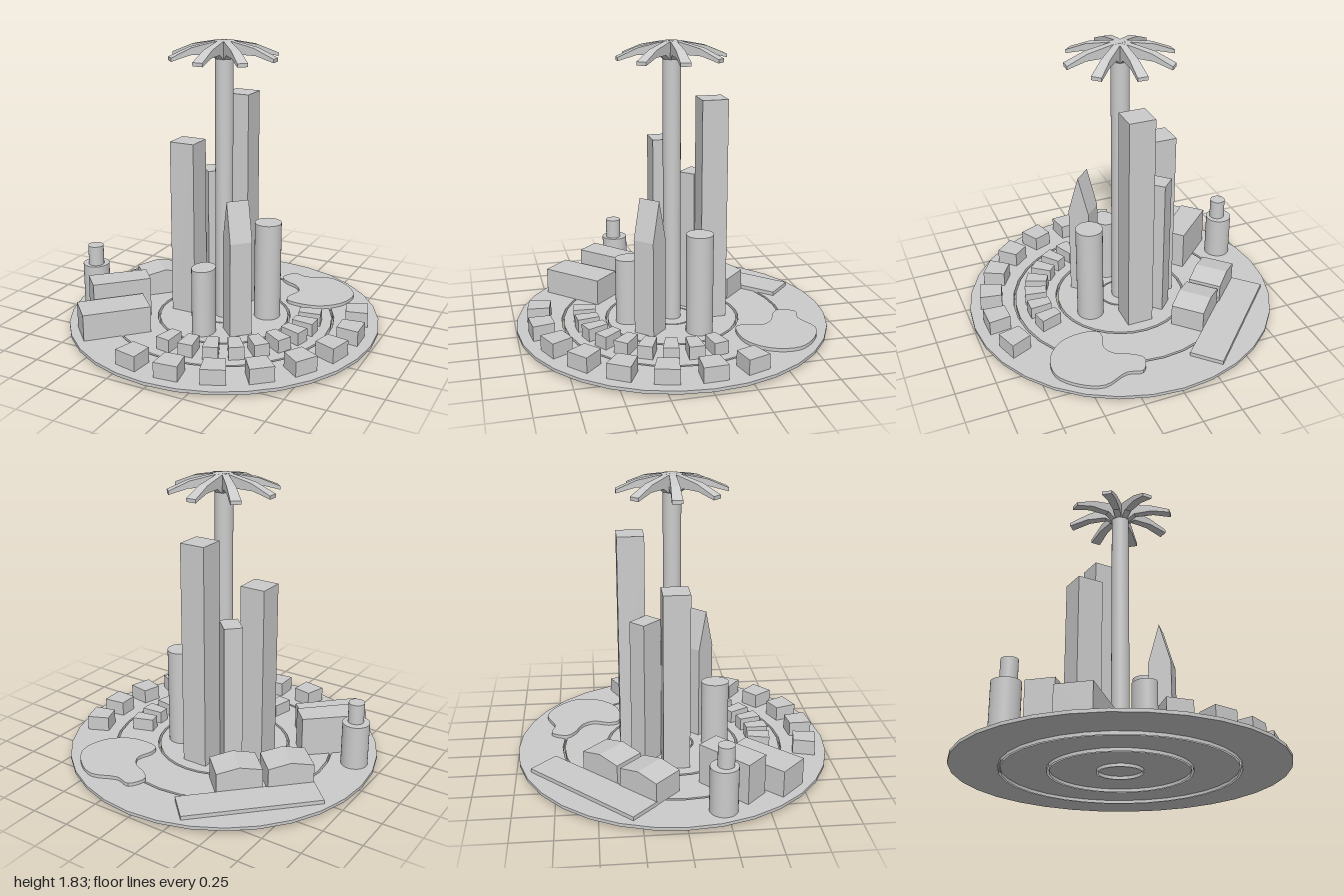
import * as THREE from 'three';

const grey = new THREE.MeshStandardMaterial({ color: 0xcccccc });
const greyDouble = new THREE.MeshStandardMaterial({ color: 0xcccccc, side: THREE.DoubleSide });
const SIDES = 32;
const GROUND = 0.04, FOOT = 0.025;

export function createModel() {
  const model = new THREE.Group();

  const add = (name, geometry, material = grey) => {
    const mesh = new THREE.Mesh(geometry, material);
    mesh.name = name;
    model.add(mesh);
    return mesh;
  };

  // Upright block over a plan outline of [x, z] points
  const toShape = pts => new THREE.Shape(pts.map(([x, z]) => new THREE.Vector2(x, -z)));
  const prism = (name, pts, top, bottom = FOOT, hole = null) => {
    const shape = toShape(pts);
    if (hole) shape.holes.push(toShape(hole));
    const geo = new THREE.ExtrudeGeometry(shape, { depth: top - bottom, bevelEnabled: false });
    return add(name, geo.rotateX(-Math.PI / 2).translate(0, bottom, 0));
  };

  const box = (name, x, z, w, d, top, turn = 0) => {
    const mesh = add(name, new THREE.BoxGeometry(w, top - FOOT, d));
    mesh.position.set(x, (top + FOOT) / 2, z);
    mesh.rotation.y = turn;
    return mesh;
  };

  const drum = (name, x, z, r, top, bottom = FOOT) => {
    const mesh = add(name, new THREE.CylinderGeometry(r, r, top - bottom, SIDES));
    mesh.position.set(x, (top + bottom) / 2, z);
    return mesh;
  };

  // Block with a ridge along its local z
  const gabled = (name, x, z, w, d, eave, ridge, turn) => {
    const shape = new THREE.Shape([[-w / 2, FOOT], [w / 2, FOOT], [w / 2, eave], [0, ridge], [-w / 2, eave]]
      .map(p => new THREE.Vector2(...p)));
    const geo = new THREE.ExtrudeGeometry(shape, { depth: d, bevelEnabled: false }).translate(0, 0, -d / 2);
    const mesh = add(name, geo);
    mesh.position.set(x, 0, z);
    mesh.rotation.y = turn;
  };

  // Ground: concentric rings parted by narrow canals
  const circle = r => Array.from({ length: SIDES }, (_, i) => {
    const a = i / SIDES * Math.PI * 2;
    return [r * Math.cos(a), r * Math.sin(a)];
  });
  prism('centralPlaza', circle(0.13), GROUND, 0.02);
  [[0.14, 0.417], [0.432, 0.7], [0.714, 1]].forEach(([inner, outer], i) =>
    prism('groundRing' + (i + 1), circle(outer), GROUND, 0.02, circle(inner)));

  // Canal walls reach below the ground plates
  for (const r of [0.13, 0.14, 0.417, 0.432, 0.7, 0.714]) {
    const wall = new THREE.CylinderGeometry(r, r, GROUND, SIDES, 1, true);
    add('canalWall', wall.translate(0, GROUND / 2, 0), greyDouble);
  }

  // Palm-shaped tower: trunk and eight drooping fronds
  drum('palmTrunk', 0, 0, 0.056, 1.76);
  const profile = new THREE.Shape([
    [0, 1.71], [0.04, 1.71], [0.1, 1.752], [0.22, 1.752], [0.338, 1.72],
    [0.338, 1.742], [0.21, 1.796], [0.06, 1.826], [0, 1.828],
  ].map(p => new THREE.Vector2(...p)));
  const frond = new THREE.ExtrudeGeometry(profile, { depth: 1, bevelEnabled: false }).translate(0, 0, -0.5);
  const pos = frond.attributes.position;
  for (let i = 0; i < pos.count; i++) {
    pos.setZ(i, pos.getZ(i) * (0.036 + 0.085 * pos.getX(i)));
  }
  frond.computeVertexNormals();
  for (let i = 0; i < 8; i++) add('palmFrond', frond).rotation.y = i * Math.PI / 4;

  // Downtown towers
  const diag = Math.PI / 4;
  box('tallTower', -0.002, -0.257, 0.166, 0.166, 1.47);
  box('leftTower', -0.258, -0.002, 0.166, 0.166, 1.18);
  box('diagonalTower', -0.17, -0.18, 0.155, 0.115, 0.967, -diag);
  drum('roundTower', 0.255, -0.115, 0.085, 0.68);
  drum('ovalTower', 0, 0.28, 1, 0.47).scale.set(0.072, 1, 0.088);
  gabled('pointedTower', 0.185, 0.185, 0.14, 0.14, 0.65, 0.9, -diag * 5 + Math.PI / 2 * 4);

  // Two curved rows of wedge-shaped houses
  const houseRow = (name, count, start, step, r, depth, halfIn, halfOut, top) => {
    for (let i = 0; i < count; i++) {
      const a = THREE.MathUtils.degToRad(start + i * step);
      const c = Math.cos(a), s = Math.sin(a);
      const plan = [[r - depth / 2, -halfIn], [r + depth / 2, -halfOut], [r + depth / 2, halfOut], [r - depth / 2, halfIn]];
      prism(name, plan.map(([u, v]) => [u * c - v * s, u * s + v * c]), top);
    }
  };
  houseRow('innerHouse', 9, -14, 14.1, 0.565, 0.14, 0.036, 0.048, 0.122);
  houseRow('outerHouse', 8, -19, 17.2, 0.857, 0.14, 0.062, 0.075, 0.136);

  // Halls and stacked drum at the left
  prism('upperHall', [[-0.52, 0.115], [-0.415, 0.23], [-0.68, 0.49], [-0.8, 0.37]], 0.297);
  prism('lowerHall', [[-0.44, 0.29], [-0.29, 0.44], [-0.59, 0.74], [-0.74, 0.59]], 0.21);
  drum('siloBase', -0.84, 0.22, 0.085, 0.327);
  drum('siloTop', -0.832, 0.23, 0.05, 0.457, 0.32);

  // Long platform and two gabled sheds at the back left
  box('longPlatform', -0.53, -0.53, 0.85, 0.212, 0.065, diag);
  gabled('gabledShed', -0.355, -0.405, 0.285, 0.212, 0.182, 0.21, diag);
  gabled('gabledShed', -0.583, -0.188, 0.285, 0.212, 0.182, 0.21, diag);

  // Raised lake with a wavy shore
  const shore = [
    [0.12, -0.69], [0.17, -0.79], [0.27, -0.77], [0.43, -0.825], [0.57, -0.76], [0.67, -0.63], [0.65, -0.47],
    [0.54, -0.355], [0.41, -0.325], [0.3, -0.345], [0.285, -0.41], [0.315, -0.51], [0.27, -0.585], [0.17, -0.635],
  ].map(([x, z]) => new THREE.Vector3(x, 0, z));
  const outline = new THREE.CatmullRomCurve3(shore, true).getPoints(56).slice(0, -1);
  prism('lake', outline.map(p => [p.x, p.z]), 0.062);

  return model;
}
